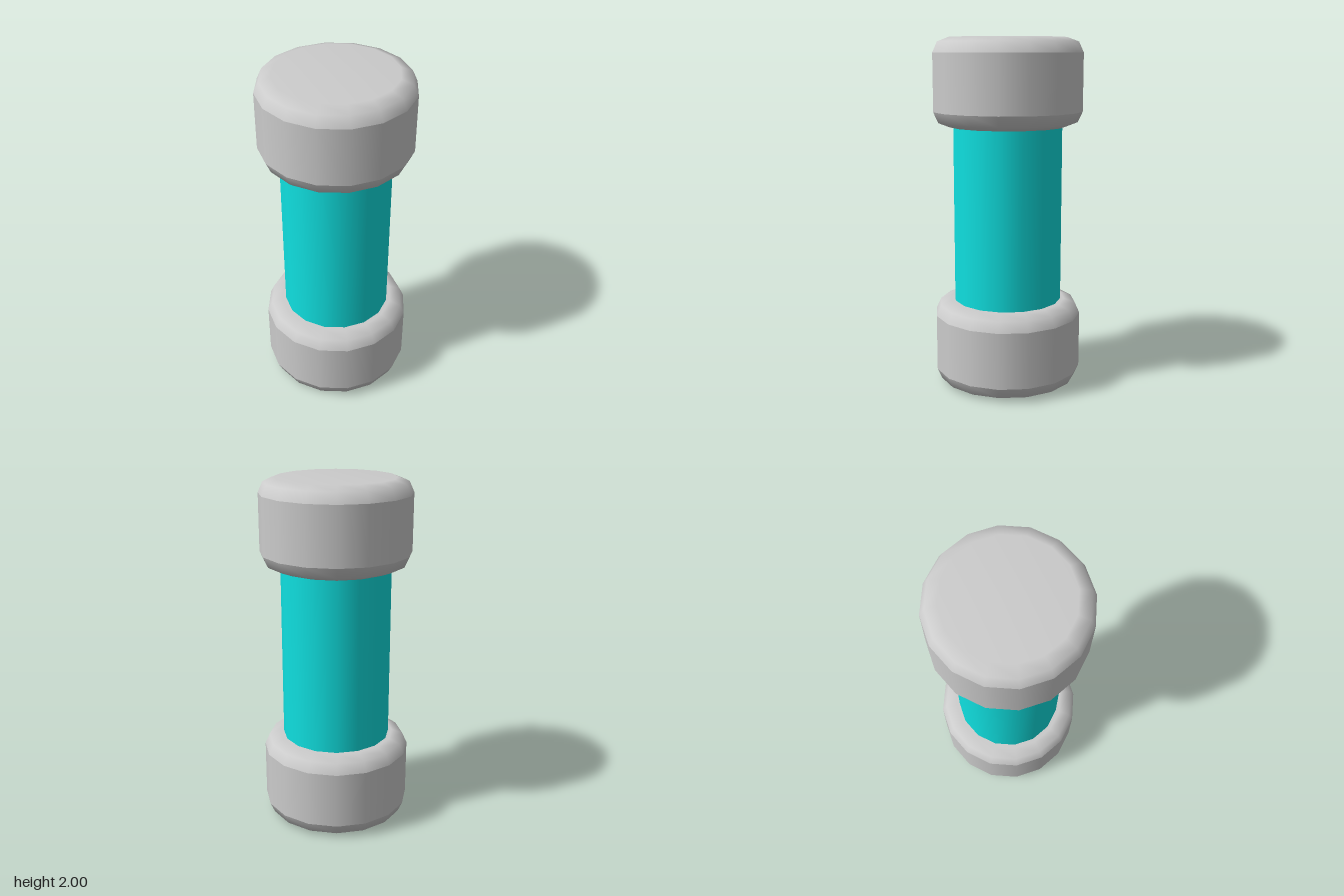
import * as THREE from 'three';
import { mergeGeometries } from 'three/addons/utils/BufferGeometryUtils.js';

const SIDES = 16;
const RADIUS = 0.427;
const HALF = 0.2475; // half height of one weight

const lathe = (points) =>
  new THREE.LatheGeometry(points.map(([r, y]) => new THREE.Vector2(r, y)), SIDES);

// Rounded end, wall and rounded end are separate strips, so the wall edges stay crisp
function weightGeometry() {
  const end = [[RADIUS, HALF - 0.085], [0.4, HALF - 0.025], [0.335, HALF], [0, HALF]];
  const lower = end.map(([r, y]) => [r, -y]).reverse();
  return mergeGeometries([lathe(lower), lathe([lower[3], end[0]]), lathe(end)]);
}

export function createModel() {
  const group = new THREE.Group();
  group.name = 'dumbbell';
  const grey = new THREE.MeshStandardMaterial({ color: 0xcccccc });
  const teal = new THREE.MeshStandardMaterial({ color: 0x10e0e0 });

  // Handle
  const handle = new THREE.Mesh(new THREE.CylinderGeometry(0.313, 0.313, 1.02, SIDES), teal);
  handle.name = 'handle';
  handle.position.y = 1;
  group.add(handle);

  // Weights at both ends
  const geometry = weightGeometry();
  for (const [name, y] of [['lowerWeight', HALF], ['upperWeight', 2 - HALF]]) {
    const weight = new THREE.Mesh(geometry, grey);
    weight.name = name;
    weight.position.y = y;
    group.add(weight);
  }
  return group;
}
